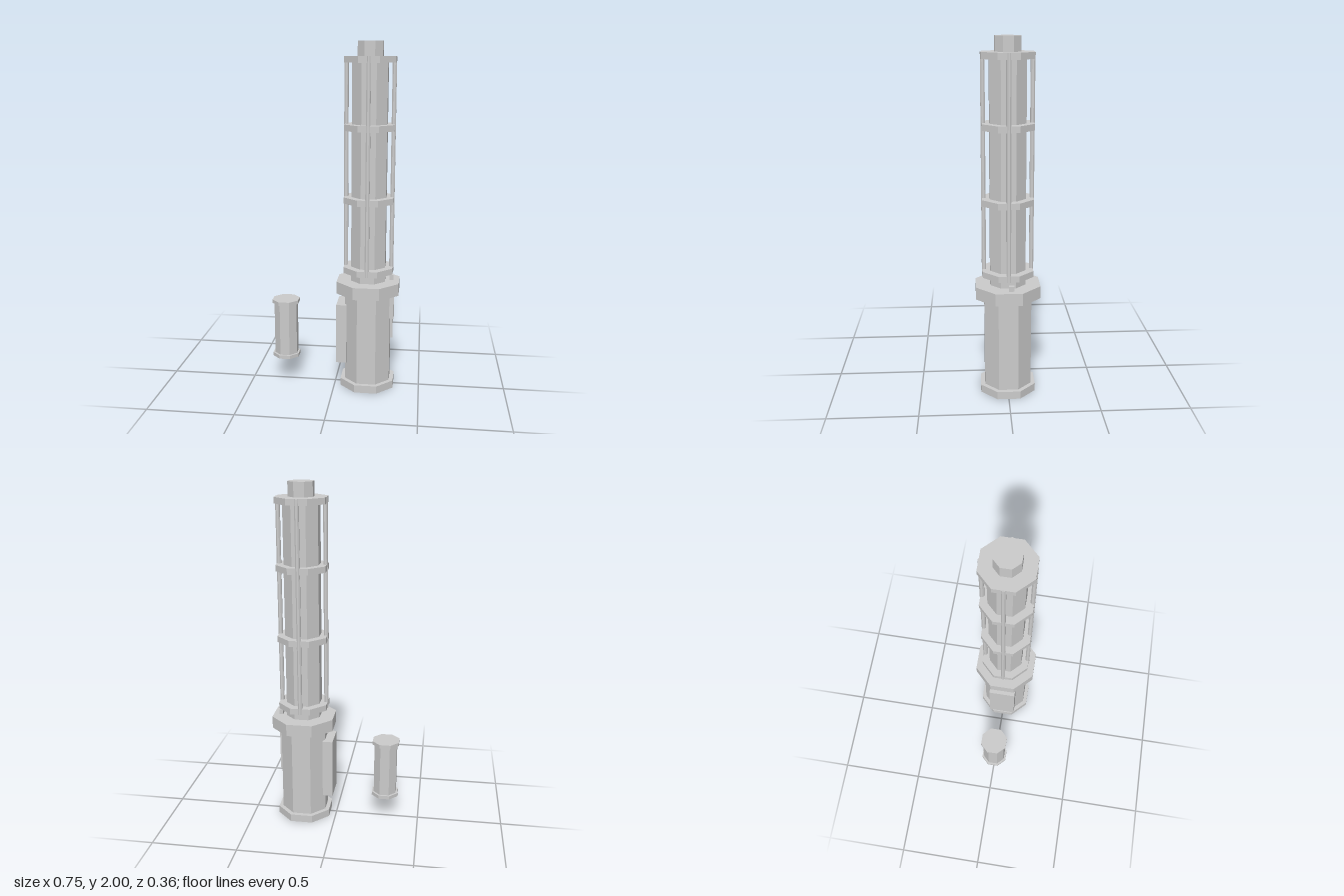
import * as THREE from 'three';

const material = new THREE.MeshStandardMaterial({ color: 0xcccccc, flatShading: true });

// Upright octagonal prism with flats facing the axes, from y0 to y1
function octagon(name, apothem, y0, y1, x = 0, z = 0) {
  const radius = apothem / Math.cos(Math.PI / 8);
  const geometry = new THREE.CylinderGeometry(radius, radius, y1 - y0, 8);
  geometry.rotateY(Math.PI / 8);
  const mesh = new THREE.Mesh(geometry, material);
  mesh.name = name;
  mesh.position.set(x, (y0 + y1) / 2, z);
  return mesh;
}

// Box given by its lowest and highest corners
function box(name, [x0, y0, z0], [x1, y1, z1]) {
  const mesh = new THREE.Mesh(new THREE.BoxGeometry(x1 - x0, y1 - y0, z1 - z0), material);
  mesh.name = name;
  mesh.position.set((x0 + x1) / 2, (y0 + y1) / 2, (z0 + z1) / 2);
  return mesh;
}

export function createModel() {
  const model = new THREE.Group();
  model.name = 'towerAndCanister';

  // Main tower
  const tower = new THREE.Group();
  tower.name = 'tower';
  tower.position.x = 0.193;
  tower.add(
    octagon('base', 0.155, 0, 0.045),
    octagon('lowerBody', 0.131, 0.045, 0.577),
    octagon('collar', 0.179, 0.577, 0.648),
    octagon('innerCore', 0.098, 0.648, 1.89),
    octagon('tip', 0.069, 1.918, 2)
  );

  // Bands around the upper core
  for (const y of [0.698, 1.107, 1.516, 1.884]) {
    tower.add(octagon('band', 0.14, y, y + 0.035));
  }

  // Four thin rods running through the bands
  for (let i = 0; i < 4; i++) {
    const angle = (i * Math.PI) / 2;
    tower.add(octagon('rod', 0.012, 0.698, 1.918, 0.132 * Math.cos(angle), 0.132 * Math.sin(angle)));
  }

  // Side fittings on the lower body
  tower.add(
    box('sidePanel', [-0.18, 0.151, -0.081], [-0.12, 0.508, 0.081]),
    box('lever', [0.124, 0.29, -0.031], [0.146, 0.677, 0]),
    box('sideBlock', [0.12, 0.43, 0.009], [0.153, 0.567, 0.058])
  );
  model.add(tower);

  // Separate small canister
  const canister = new THREE.Group();
  canister.name = 'canister';
  canister.position.x = -0.297;
  canister.add(
    octagon('canisterBottomCap', 0.077, 0.153, 0.174),
    octagon('canisterBody', 0.066, 0.174, 0.487),
    octagon('canisterTopCap', 0.077, 0.487, 0.508)
  );
  model.add(canister);

  return model;
}
